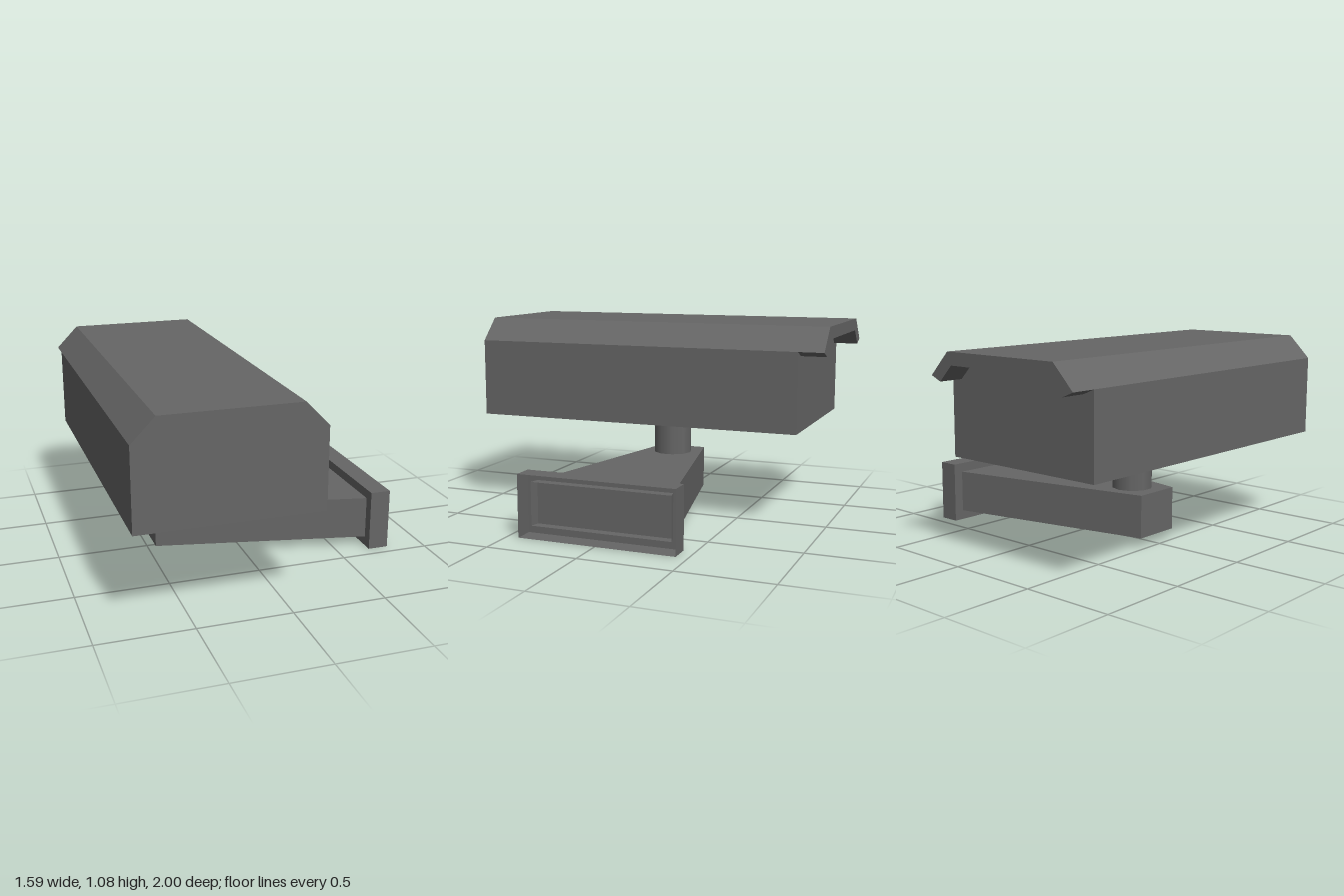
import * as THREE from 'three';

const material = new THREE.MeshStandardMaterial({ color: 0x666666, flatShading: true, side: THREE.DoubleSide });
const smooth = new THREE.MeshStandardMaterial({ color: 0x666666 });
const CENTRE_X = -0.317; // middle of the housing

// Extrude an x/y outline from z0 to z1
function prism(name, points, z0, z1) {
  const shape = new THREE.Shape(points.map(([x, y]) => new THREE.Vector2(x, y)));
  const geometry = new THREE.ExtrudeGeometry(shape, { depth: z1 - z0, bevelEnabled: false });
  geometry.translate(CENTRE_X, 0, z0);
  const mesh = new THREE.Mesh(geometry, material);
  mesh.name = name;
  return mesh;
}

// Open-ended rectangular sleeve along x, closed at its first section: [x, halfWidth, bottom, top]
function sleeve(name, sections) {
  const [start, end] = sections.map(([x, h, b, t]) => [[x, b, -h], [x, t, -h], [x, t, h], [x, b, h]]);
  const pos = [];
  const quad = (a, b, c, d) => pos.push(...a, ...b, ...c, ...a, ...c, ...d);
  for (let j = 0; j < 4; j++) {
    const k = (j + 1) % 4;
    quad(start[j], end[j], end[k], start[k]);
  }
  quad(start[3], start[2], start[1], start[0]);
  const geometry = new THREE.BufferGeometry();
  geometry.setAttribute('position', new THREE.Float32BufferAttribute(pos, 3));
  geometry.computeVertexNormals();
  const mesh = new THREE.Mesh(geometry, material);
  mesh.name = name;
  return mesh;
}

export function createModel() {
  const group = new THREE.Group();
  group.name = 'wallCamera';

  // Housing with chamfered top
  const roof = [[0.479, 0.955], [0.357, 1.08], [-0.357, 1.08], [-0.479, 0.955]];
  group.add(prism('housing', [[-0.479, 0.522], [0.479, 0.522], ...roof], -0.863, 1));

  // Hood overhanging the lens end
  const underside = [[-0.415, 0.928], [-0.33, 1.013], [0.33, 1.013], [0.415, 0.928]];
  group.add(prism('hood', [...roof, ...underside], -1, -0.863));

  // Ten-sided post between arm and housing
  const post = new THREE.Mesh(new THREE.CylinderGeometry(0.111, 0.111, 0.237, 10), smooth);
  post.name = 'post';
  post.position.set(-0.305, 0.4035, 0);
  group.add(post);

  // Tapered arm, its open mouth reaching into the flange
  group.add(sleeve('arm', [[-0.48, 0.135, 0.053, 0.287], [0.735, 0.391, 0.053, 0.287]]));

  // Shallow wall flange, open towards the wall
  group.add(sleeve('flange', [[0.682, 0.436, 0, 0.338], [0.795, 0.436, 0, 0.338]]));

  return group;
}
